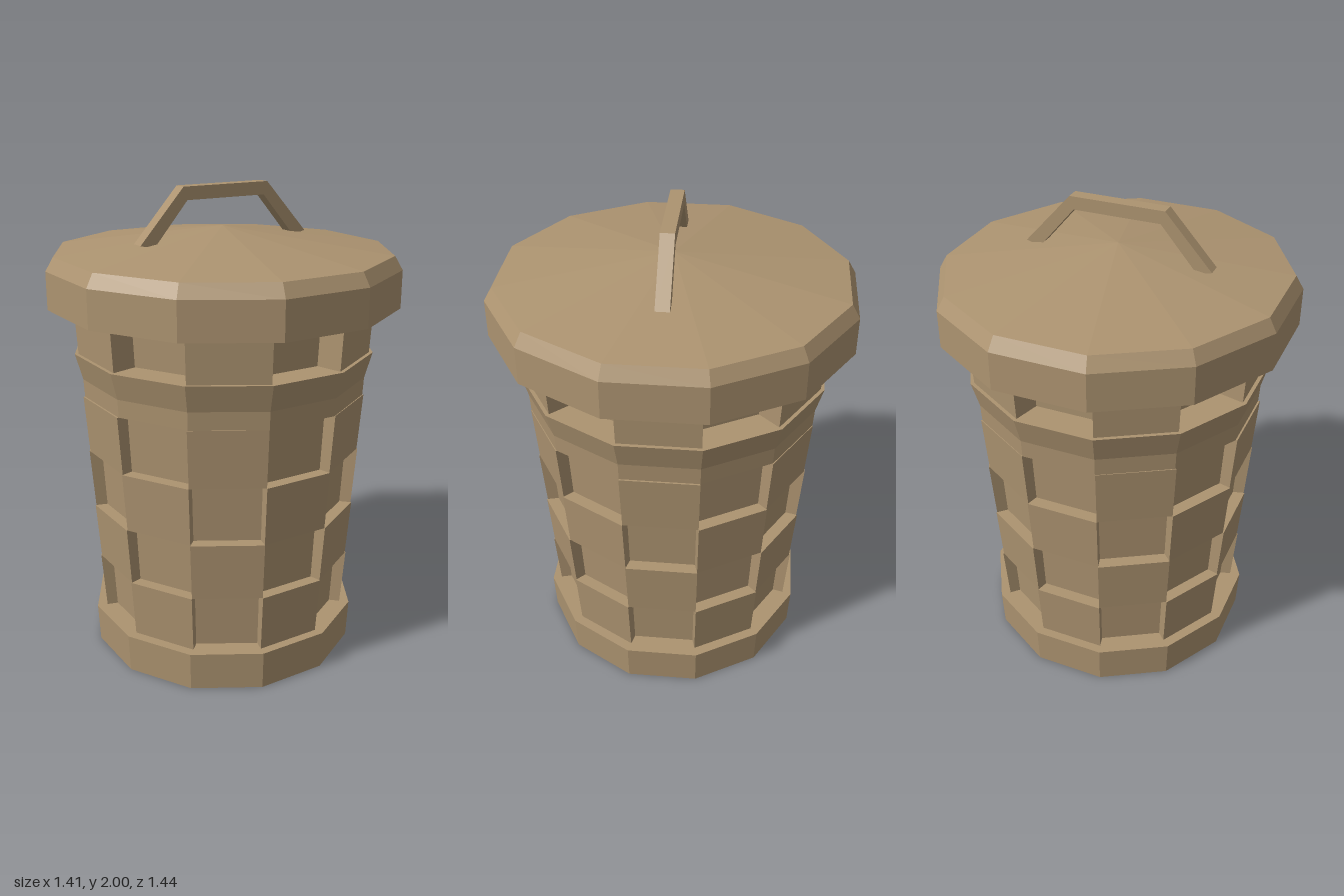
import * as THREE from 'three';

const SIDES = 12;
const STEP = (Math.PI * 2) / SIDES;
const CORNER = 1 / Math.cos(STEP / 2); // flat-to-flat radius -> corner radius

export function createModel() {
  const model = new THREE.Group();
  model.name = 'bin';
  const tan = new THREE.MeshStandardMaterial({ color: 0xac9370, flatShading: true });

  function add(name, geometry, parent = model) {
    const mesh = new THREE.Mesh(geometry, tan);
    mesh.name = name;
    parent.add(mesh);
    return mesh;
  }

  // Twelve-sided turned solid; profile is [flat radius, y] from bottom to top
  function turned(name, profile, stretch = 1) {
    const points = profile.map(([r, y]) => new THREE.Vector2(r * CORNER, y));
    const g = new THREE.LatheGeometry(points, SIDES, STEP / 2, Math.PI * 2);
    g.scale(1, 1, stretch);
    return add(name, g);
  }

  // One raised facet: a box bent onto the twelve-sided wall
  function facet(angle, y0, y1, r0, r1, depth, stretch) {
    const g = new THREE.BoxGeometry(1, 1, 1);
    const p = g.attributes.position;
    for (let i = 0; i < p.count; i++) {
      const up = p.getY(i) > 0;
      const a = angle + p.getX(i) * STEP;
      const r = ((up ? r1 : r0) - (p.getZ(i) > 0 ? 0 : depth)) * CORNER;
      p.setXYZ(i, r * Math.sin(a), up ? y1 : y0, r * Math.cos(a) * stretch);
    }
    g.computeVertexNormals();
    return g;
  }

  // Every second facet of a row, starting at facet number "first"
  function row(name, first, y0, y1, r0, r1, depth, stretch = 1) {
    const group = new THREE.Group();
    group.name = name;
    for (let i = first; i < SIDES; i += 2) {
      add('panel', facet(i * STEP, y0, y1, r0, r1, depth, stretch), group);
    }
    model.add(group);
  }

  // Foot ring with closed underside
  turned('base', [[0, 0], [0.555, 0], [0.563, 0.165], [0.42, 0.165]]);

  // Recessed inner wall
  turned('innerWall', [[0.475, 0.16], [0.53, 1.16]], 1.01);

  // Four staggered rows of woven panels
  const levels = [0.165, 0.41, 0.655, 0.905, 1.15];
  for (let i = 0; i < 4; i++) {
    const r = 0.52 + i * 0.0145;
    row('wovenRow', i % 2, levels[i], levels[i + 1], r, r + 0.018, 0.06, 1.01);
  }

  // Flared belt above the weave
  turned('belt', [[0.5, 1.15], [0.574, 1.15], [0.578, 1.225], [0.607, 1.335], [0.46, 1.335]], 1.02);

  // Slotted neck
  turned('neckInnerWall', [[0.485, 1.33], [0.495, 1.52]], 1.02);
  row('neckPanels', 1, 1.335, 1.515, 0.592, 0.602, 0.12, 1.02);

  // Rim under the lid
  turned('rim', [[0.48, 1.51], [0.6, 1.51], [0.63, 1.525], [0.63, 1.57]], 1.02);

  // Hollow-edged lid with a shallow cone on top
  turned('lid', [
    [0, 1.56], [0.665, 1.56], [0.675, 1.525], [0.703, 1.525],
    [0.703, 1.68], [0.672, 1.735], [0, 1.832],
  ], 1.024);

  // Angular carrying handle
  const outline = [
    [-0.395, 1.785], [-0.2, 2], [0.195, 2], [0.39, 1.785],
    [0.33, 1.77], [0.178, 1.947], [-0.183, 1.947], [-0.335, 1.77],
  ].map(([x, y]) => new THREE.Vector2(x, y));
  const handle = new THREE.ExtrudeGeometry(new THREE.Shape(outline), { depth: 0.056, bevelEnabled: false });
  handle.translate(0, 0, -0.023);
  add('handle', handle);

  return model;
}
